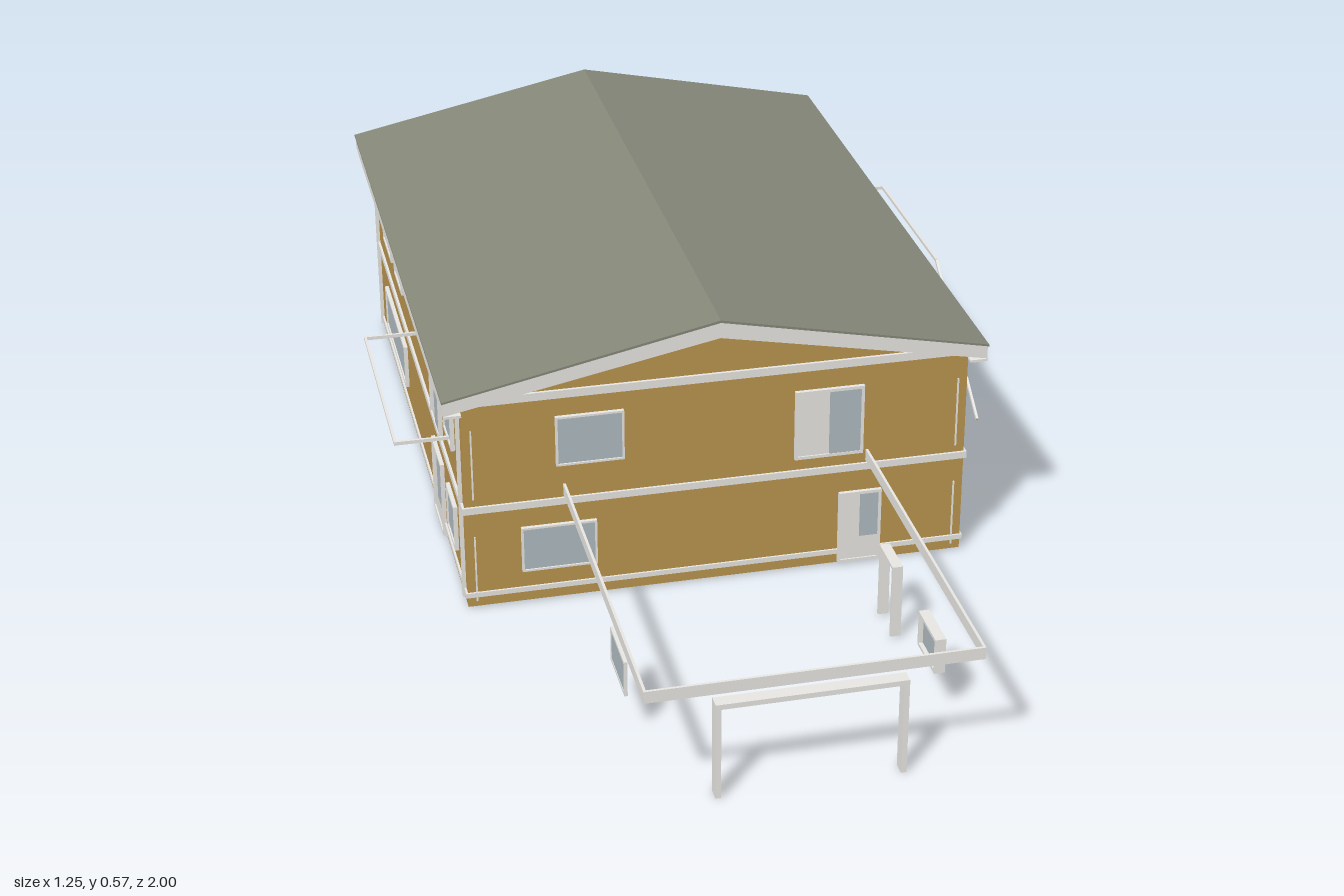
import * as THREE from 'three';

export function createModel() {
  const mat = (name, color) => {
    const m = new THREE.MeshStandardMaterial({ color });
    m.name = name;
    return m;
  };
  const M = {
    wall: mat('ochre wall', 0xb8934e),
    trim: mat('off-white trim', 0xe6e5e1),
    glass: mat('window glass', 0xadb9bf),
    roof: mat('roof sheet', 0x858779),
    floor: mat('floor slab', 0xd2cecc),
  };
  const model = new THREE.Group();
  model.name = 'house';

  // Box given by its extents on each axis
  const block = (parent, name, m, [x0, x1], [y0, y1], [z0, z1]) => {
    const mesh = new THREE.Mesh(new THREE.BoxGeometry(x1 - x0, y1 - y0, z1 - z0), m);
    mesh.position.set((x0 + x1) / 2, (y0 + y1) / 2, (z0 + z1) / 2);
    mesh.name = name;
    parent.add(mesh);
    return mesh;
  };
  const group = (name, parent = model) => {
    const g = new THREE.Group();
    g.name = name;
    parent.add(g);
    return g;
  };
  // Rectangular frame in the local xy plane; open at the bottom for doorways
  const frame = (parent, [u0, u1], [v0, v1], t, z, sill = true) => {
    block(parent, 'frameLeft', M.trim, [u0, u0 + t], [v0, v1], z);
    block(parent, 'frameRight', M.trim, [u1 - t, u1], [v0, v1], z);
    block(parent, 'frameTop', M.trim, [u0 + t, u1 - t], [v1 - t, v1], z);
    if (sill) block(parent, 'frameSill', M.trim, [u0 + t, u1 - t], [v0, v0 + t], z);
  };

  // Main body: walls with gables, extruded along z
  const X0 = -0.515, X1 = 0.46, Z0 = -0.97, Z1 = 0.285, RX = -0.03;
  const extrude = (name, pts, z0, z1, m) => {
    const shape = new THREE.Shape(pts.map(([x, y]) => new THREE.Vector2(x, y)));
    const geo = new THREE.ExtrudeGeometry(shape, { depth: z1 - z0, bevelEnabled: false });
    const mesh = new THREE.Mesh(geo, m);
    mesh.position.z = z0;
    mesh.name = name;
    model.add(mesh);
  };
  extrude('walls', [[X0, 0.003], [X1, 0.003], [X1, 0.43], [RX, 0.535], [X0, 0.43]], Z0, Z1, M.wall);
  block(model, 'floorSlab', M.floor, [X0 + 0.005, X1 - 0.005], [0.001, 0.01], [Z0 + 0.005, Z1 - 0.005]);
  block(model, 'floorOpening', M.glass, [-0.1, -0.03], [0, 0.004], [-0.2, 0.15]);

  // Roof: white fascia body under a thin roof sheet
  const E0 = -0.55, E1 = 0.49;
  extrude('fascia', [[E0, 0.428], [RX, 0.53], [E1, 0.428], [E1, 0.455], [RX, 0.563], [E0, 0.455]], -0.998, 0.308, M.trim);
  extrude('roofSheet', [[E0 - 0.002, 0.454], [RX, 0.562], [E1 + 0.002, 0.454], [E1 + 0.002, 0.458], [RX, 0.567], [E0 - 0.002, 0.458]], -1, 0.31, M.roof);

  // Eaves soffits and downpipes on both long sides
  [[E0 + 0.002, X0, X0 - 0.007, X0], [X1, E1 + 0.004, X1, X1 + 0.007]].forEach(([a, b, p, q]) => {
    block(model, 'soffit', M.trim, [a, b], [0.418, 0.423], [-0.99, 0.3]);
    for (const z of [-0.945, 0.26])
      block(model, 'downpipe', M.trim, [p, q], [0.015, 0.42], [z - 0.005, z + 0.005]);
  });

  // Each facade is a group: local x runs to the viewer's right, local z points out.
  // Windows are [u0, u1, v0, v1]; doors add the bottom of the fixed pane
  // and, where the leaf is glazed, the bottom of the leaf's pane.
  const facade = (name, pos, turn, [a, b], t, windows, doors) => {
    const g = group(name);
    g.position.set(...pos);
    g.rotation.y = turn;
    block(g, 'baseBand', M.trim, [a - 0.004, b + 0.004], [0.024, 0.034], [0, 0.004]);
    block(g, 'floorBand', M.trim, [a - 0.004, b + 0.004], [0.206, 0.22], [0, 0.005]);
    for (const [u0, u1, v0, v1] of windows) {
      const w = group('window', g);
      frame(w, [u0, u1], [v0, v1], t, [0, 0.008]);
      block(w, 'pane', M.glass, [u0 + t, u1 - t], [v0 + t, v1 - t], [0, 0.005]);
    }
    for (const [u0, u1, v0, v1, paneY, leafY] of doors) {
      const d = group('door', g);
      const m = (u0 + u1) / 2;
      frame(d, [u0, u1], [v0, v1], 0.006, [0, 0.008]);
      block(d, 'doorBacking', M.trim, [u0 + 0.006, u1 - 0.006], [v0 + 0.006, v1 - 0.006], [0, 0.005]);
      block(d, 'doorPane', M.glass, [m, u1 - 0.006], [paneY, v1 - 0.006], [0, 0.007]);
      if (leafY) block(d, 'leafPane', M.glass, [u0 + 0.012, m - 0.006], [leafY, v1 - 0.012], [0, 0.007]);
    }
    return g;
  };
  const UP = [0.29, 0.393], LOW = [0.07, 0.165];
  const front = facade('frontFacade', [0, 0, Z1], 0, [X0, X1], 0.004,
    [[-0.34, -0.21, ...UP], [-0.41, -0.265, ...LOW]],
    [[0.12, 0.255, 0.245, 0.39, 0.251], [0.21, 0.295, 0.005, 0.16, 0.06]]);
  const back = facade('backFacade', [0, 0, Z0], Math.PI, [-X1, -X0], 0.004,
    [[-0.335, -0.205, ...UP], [0.195, 0.355, ...UP], [-0.35, -0.205, ...LOW], [0.165, 0.35, ...LOW]], []);
  facade('leftFacade', [X1, 0, 0], Math.PI / 2, [-Z1, -Z0], 0.01,
    [[-0.195, -0.065, ...UP], [0.17, 0.28, ...UP], [0.77, 0.895, ...UP],
      [-0.055, 0.1, ...LOW], [0.755, 0.88, ...LOW]],
    [[0.5, 0.64, 0.225, 0.395, 0.235, 0.285], [0.48, 0.625, 0.005, 0.165, 0.02, 0.12]]);
  facade('rightFacade', [X0, 0, 0], -Math.PI / 2, [Z0, Z1], 0.007,
    [[-0.8, -0.67, ...UP], [-0.62, -0.505, ...UP], [0.09, 0.19, ...UP],
      [-0.82, -0.51, ...LOW], [0.085, 0.185, ...LOW]],
    [[-0.1, 0.02, 0.225, 0.395, 0.235], [-0.11, 0.015, 0.005, 0.165, 0.06]]);

  // Gable tie bands, and slim strips beside the front corners
  block(front, 'gableBand', M.trim, [X0, X1], [0.432, 0.448], [0, 0.006]);
  block(back, 'gableBand', M.trim, [-X1, -X0], [0.432, 0.448], [0, 0.006]);
  for (const x of [-0.498, 0.442])
    for (const [y0, y1] of [[0.015, 0.155], [0.235, 0.38]])
      block(front, 'cornerStrip', M.trim, [x - 0.0015, x + 0.0015], [y0, y1], [0, 0.003]);

  // Porch: beam ring reaching forward from the front wall
  const porch = group('porch');
  const beamY = [0.225, 0.248];
  block(porch, 'sideBeam', M.trim, [-0.327, -0.322], beamY, [Z1, 1]);
  block(porch, 'sideBeam', M.trim, [0.262, 0.267], beamY, [Z1, 1]);
  block(porch, 'frontBeam', M.trim, [-0.327, 0.267], beamY, [0.995, 1]);
  // Porch entrance portal
  frame(porch, [-0.2, 0.14], [0, 0.19], 0.01, [0.957, 0.982], false);

  // Porch side openings, turned to face the sides
  const opening = (name, x, z, halfWidth, ys, depth, door) => {
    const g = group(name, porch);
    g.position.set(x, 0, z);
    g.rotation.y = Math.PI / 2;
    frame(g, [-halfWidth, halfWidth], ys, 0.006, [-depth, depth], !door);
    if (!door)
      block(g, 'pane', M.glass, [-halfWidth + 0.006, halfWidth - 0.006], [ys[0] + 0.006, ys[1] - 0.006], [-0.002, 0.002]);
  };
  opening('porchSideDoor', 0.244, 0.527, 0.043, [0.005, 0.155], 0.01, true);
  opening('porchLeftWindow', 0.244, 0.78, 0.05, [0.09, 0.16], 0.01, false);
  opening('porchRightWindow', -0.311, 0.715, 0.06, [0.09, 0.16], 0.003, false);

  // Balcony outline on the right
  const railY = [0.295, 0.302];
  const balcony = group('rightBalcony');
  block(balcony, 'outerRail', M.trim, [-0.625, -0.62], railY, [-0.307, 0.153]);
  for (const z of [-0.304, 0.15])
    block(balcony, 'endRail', M.trim, [-0.625, X0], railY, [z - 0.0025, z + 0.0025]);

  // Landing and sloping stair rail on the left
  const stair = group('leftStair');
  block(stair, 'endRail', M.trim, [X1, 0.621], railY, [-0.805, -0.8]);
  block(stair, 'landingRail', M.trim, [0.616, 0.621], railY, [-0.805, -0.4]);
  const dy = 0.225, dz = 0.31;
  const slope = block(stair, 'slopingRail', M.trim, [0.616, 0.621], [0, 0.007], [0, Math.hypot(dy, dz)]);
  slope.position.set(0.6185, 0.298 - dy / 2, -0.4 + dz / 2);
  slope.rotation.x = Math.atan2(dy, dz);

  return model;
}
